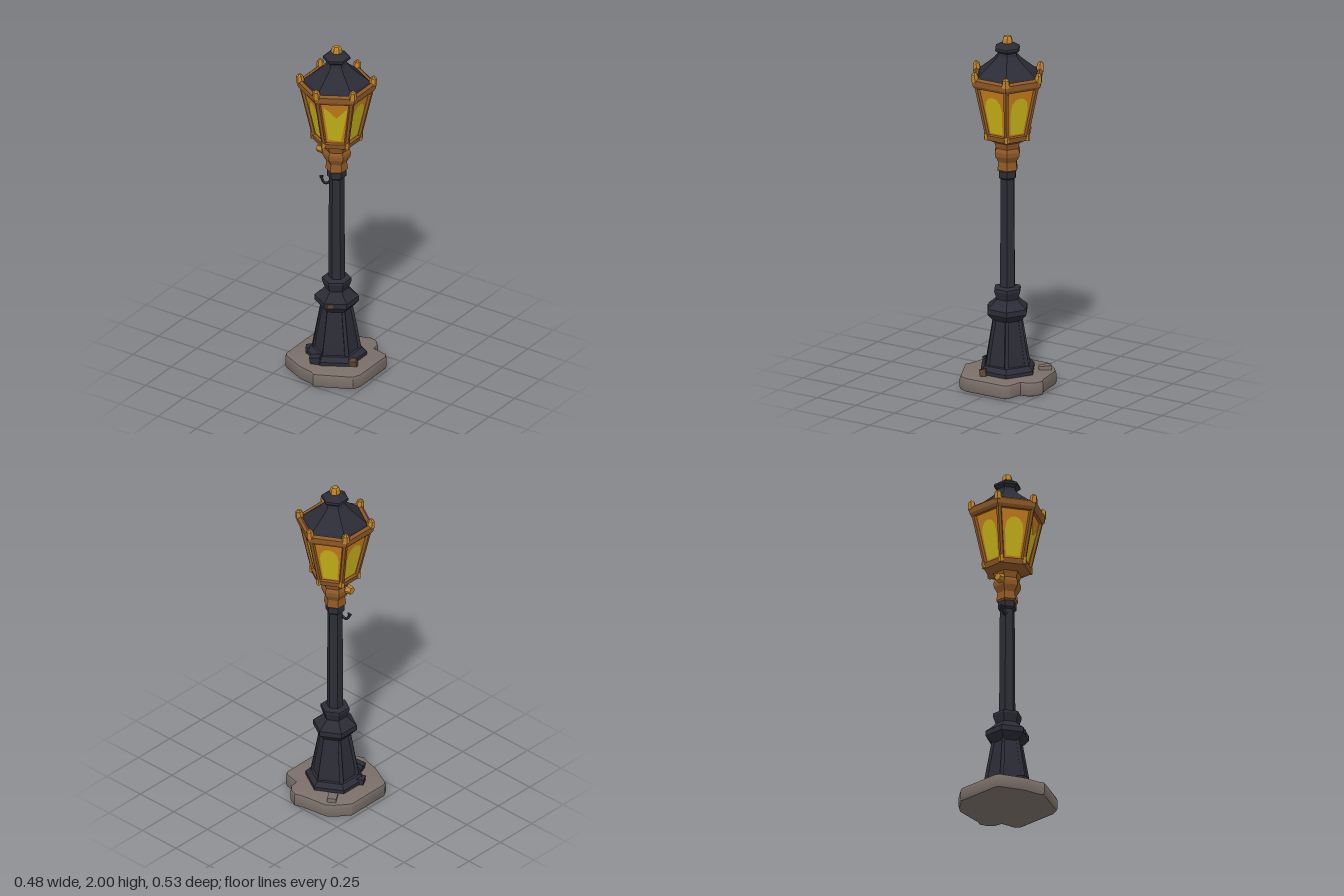
import * as THREE from 'three';
import { toCreasedNormals } from 'three/addons/utils/BufferGeometryUtils.js';

const mat = (name, color, side = THREE.FrontSide) => {
  const m = new THREE.MeshStandardMaterial({ color, side });
  m.name = name;
  return m;
};
const V = (x, y, z) => new THREE.Vector3(x, y, z);
const polar = (a, r, y) => V(Math.sin(a) * r, y, Math.cos(a) * r);
const SIXTH = Math.PI / 3;

export function createModel() {
  const iron = mat('dark iron', 0x2b2c36);
  const stone = mat('stone', 0x7a6f68);
  const bronze = mat('bronze', 0x8f5926);
  const gold = mat('gold', 0xc0842a);
  const amber = mat('amber glass', 0xc8801c, THREE.DoubleSide);
  const glow = mat('yellow glow', 0xcbb81a, THREE.DoubleSide);
  const rust = mat('rust', 0x5e4436);

  const model = new THREE.Group();
  const add = (name, geo, material, crease = 0.35, parent = model) => {
    const mesh = new THREE.Mesh(toCreasedNormals(geo, crease), material);
    mesh.name = name;
    parent.add(mesh);
    return mesh;
  };
  // six-sided turned part, profile given bottom to top as [radius, y]
  const hex = (name, profile, material) =>
    add(name, new THREE.LatheGeometry(profile.map(p => new THREE.Vector2(...p)), 6), material);
  // tapered straight bar between two points
  const bar = (name, a, b, r0, r1, sides, material, parent) => {
    const d = b.clone().sub(a);
    const mesh = add(name, new THREE.CylinderGeometry(r1, r0, d.length(), sides), material, 0.35, parent);
    mesh.position.copy(a).addScaledVector(d, 0.5);
    mesh.quaternion.setFromUnitVectors(V(0, 1, 0), d.normalize());
    return mesh;
  };
  const block = (name, size, pos, rot, material) => {
    const mesh = add(name, new THREE.BoxGeometry(...size), material);
    mesh.position.set(...pos);
    mesh.rotation.set(...rot);
    return mesh;
  };

  // worn stone slab, outline as [x, z]
  const outline = [[-0.24, 0.14], [-0.225, 0.165], [-0.09, 0.23], [-0.01, 0.245], [0.02, 0.262],
    [0.05, 0.25], [0.22, 0.168], [0.24, 0.12], [0.24, -0.13], [0.22, -0.155], [0.135, -0.172],
    [0.128, -0.215], [0.1, -0.247], [0.055, -0.265], [0.02, -0.25], [-0.14, -0.226], [-0.18, -0.195], [-0.24, -0.12]];
  const slab = new THREE.ExtrudeGeometry(
    new THREE.Shape(outline.map(([x, z]) => new THREE.Vector2(x, -z))),
    { depth: 0.049, bevelEnabled: true, bevelThickness: 0.018, bevelSize: 0.016, bevelOffset: -0.016, bevelSegments: 2 });
  slab.rotateX(-Math.PI / 2).translate(0, 0.018, 0);
  add('stoneSlab', slab, stone, 0.7);

  // iron foot, pedestal, collar and pole
  hex('foot', [[0.165, 0.07], [0.165, 0.105], [0.14, 0.13], [0.1, 0.135]], iron);
  hex('pedestal', [[0.125, 0.12], [0.12, 0.17], [0.08, 0.39]], iron);
  hex('collar', [[0.075, 0.375], [0.095, 0.39], [0.122, 0.42], [0.122, 0.45], [0.085, 0.48],
    [0.066, 0.5], [0.082, 0.545], [0.08, 0.56], [0.04, 0.57]], iron);
  hex('pole', [[0.046, 0.55], [0.042, 1.19]], iron);
  hex('poleCollar', [[0.042, 1.185], [0.053, 1.195], [0.053, 1.23], [0.045, 1.24]], iron);
  for (let i = 0; i < 6; i++) {
    const a = i * SIXTH;
    bar('pedestalRib', polar(a, 0.126, 0.11), polar(a, 0.079, 0.39), 0.016, 0.012, 4, iron);
  }

  // loose fragments around the foot and a rusty patch
  block('brokenPiece', [0.06, 0.05, 0.04], [-0.035, 0.105, 0.15], [0.1, 0.3, 0.15], iron);
  block('brokenPiece', [0.05, 0.04, 0.05], [-0.13, 0.1, 0.06], [0, 0.5, 0.1], iron);
  block('brokenPiece', [0.05, 0.03, 0.07], [-0.13, 0.09, -0.16], [0.1, 0.6, 0], stone);
  block('rustyPiece', [0.04, 0.04, 0.035], [0.15, 0.1, 0.06], [0.2, 0.4, 0.1], rust);
  block('rustPatch', [0.028, 0.024, 0.008], [0.03, 0.435, 0.105], [0, 0.52, 0], rust);

  // small hook on the pole
  const hookPath = new THREE.CatmullRomCurve3([V(-0.025, 1.17, 0.02), V(-0.042, 1.148, 0.025),
    V(-0.06, 1.145, 0.03), V(-0.073, 1.165, 0.032), V(-0.08, 1.185, 0.033)]);
  add('hook', new THREE.TubeGeometry(hookPath, 8, 0.008, 5), iron, 1);
  bar('hookTip', V(-0.086, 1.178, 0.033), V(-0.066, 1.186, 0.033), 0.009, 0.005, 5, iron);

  // bronze neck and the ledge under the glass
  hex('neck', [[0.045, 1.225], [0.062, 1.24], [0.056, 1.285], [0.076, 1.32], [0.078, 1.345],
    [0.068, 1.365], [0.08, 1.4], [0.115, 1.42]], bronze);
  hex('glassLedge', [[0.1, 1.412], [0.132, 1.422], [0.14, 1.452], [0.1, 1.46], [0, 1.46]], bronze);

  // valve knob on the neck
  bar('valveStem', V(-0.04, 1.35, 0.02), V(-0.08, 1.35, 0.025), 0.014, 0.014, 6, gold);
  bar('valveKnob', V(-0.07, 1.35, 0.025), V(-0.103, 1.35, 0.027), 0.027, 0.022, 6, gold);

  // glass panels: flat shapes in (u across -1..1, v up 0..1) bent onto the tapered cage
  const Y0 = 1.45, Y1 = 1.745, R0 = 0.12, R1 = 0.188;
  const panel = (shape, angle, lift) => {
    const g = new THREE.ShapeGeometry(shape, 6), p = g.attributes.position;
    for (let i = 0; i < p.count; i++) {
      const u = p.getX(i), v = p.getY(i), r = R0 + (R1 - R0) * v;
      const across = u * r * 0.5, out = r * Math.cos(SIXTH / 2) + lift;
      p.setXYZ(i, Math.cos(angle) * across + Math.sin(angle) * out, Y0 + (Y1 - Y0) * v,
        -Math.sin(angle) * across + Math.cos(angle) * out);
    }
    g.computeVertexNormals();
    return g;
  };
  const poly = pts => new THREE.Shape(pts.map(p => new THREE.Vector2(...p)));
  const pane = poly([[-1, 0], [1, 0], [1, 1], [-1, 1]]);
  const arch = poly([[-0.62, 0.06], [0.62, 0.06], [0.66, 0.55]]);
  arch.bezierCurveTo(0.6, 0.88, -0.6, 0.88, -0.66, 0.55);
  const jagged = poly([[-0.6, 0.1], [0.5, 0.06], [0.7, 0.5], [0.8, 0.84], [0.1, 0.6], [-0.25, 0.72], [-0.7, 0.86]]);
  const glass = new THREE.Group();
  glass.name = 'glassPanels';
  model.add(glass);
  for (let i = 0; i < 6; i++) {
    const mid = (i + 0.5) * SIXTH;
    add('glassPane', panel(pane, mid, 0), amber, 0.35, glass);
    add('glowPatch', panel(i === 0 ? jagged : arch, mid, 0.003), glow, 0.35, glass);
  }

  // cage posts, corner knobs and lower corner caps
  for (let i = 0; i < 6; i++) {
    const a = i * SIXTH;
    bar('cagePost', polar(a, 0.121, 1.44), polar(a, 0.19, 1.75), 0.014, 0.015, 6, bronze);
    bar('cornerKnob', polar(a, 0.197, 1.768), polar(a, 0.202, 1.81), 0.024, 0.019, 6, gold);
    bar('knobTip', polar(a, 0.202, 1.808), polar(a, 0.202, 1.82), 0.019, 0.008, 6, gold);
    bar('lowerCap', polar(a, 0.128, 1.425), polar(a, 0.132, 1.462), 0.015, 0.013, 5, gold);
  }

  // rim around the top of the glass
  hex('topRim', [[0.18, 1.728], [0.202, 1.728], [0.214, 1.745], [0.216, 1.775], [0.2, 1.788],
    [0.182, 1.775], [0.18, 1.728]], bronze);

  // iron roof with its cap, and the finial
  hex('roof', [[0.19, 1.765], [0.178, 1.79], [0.125, 1.832], [0.085, 1.865], [0.062, 1.89], [0.054, 1.915]], iron);
  hex('roofCap', [[0.05, 1.905], [0.076, 1.925], [0.074, 1.938], [0.04, 1.958], [0, 1.968]], iron);
  hex('finial', [[0.024, 1.95], [0.031, 1.968], [0.026, 1.992], [0.018, 2], [0, 2]], gold);

  return model;
}
